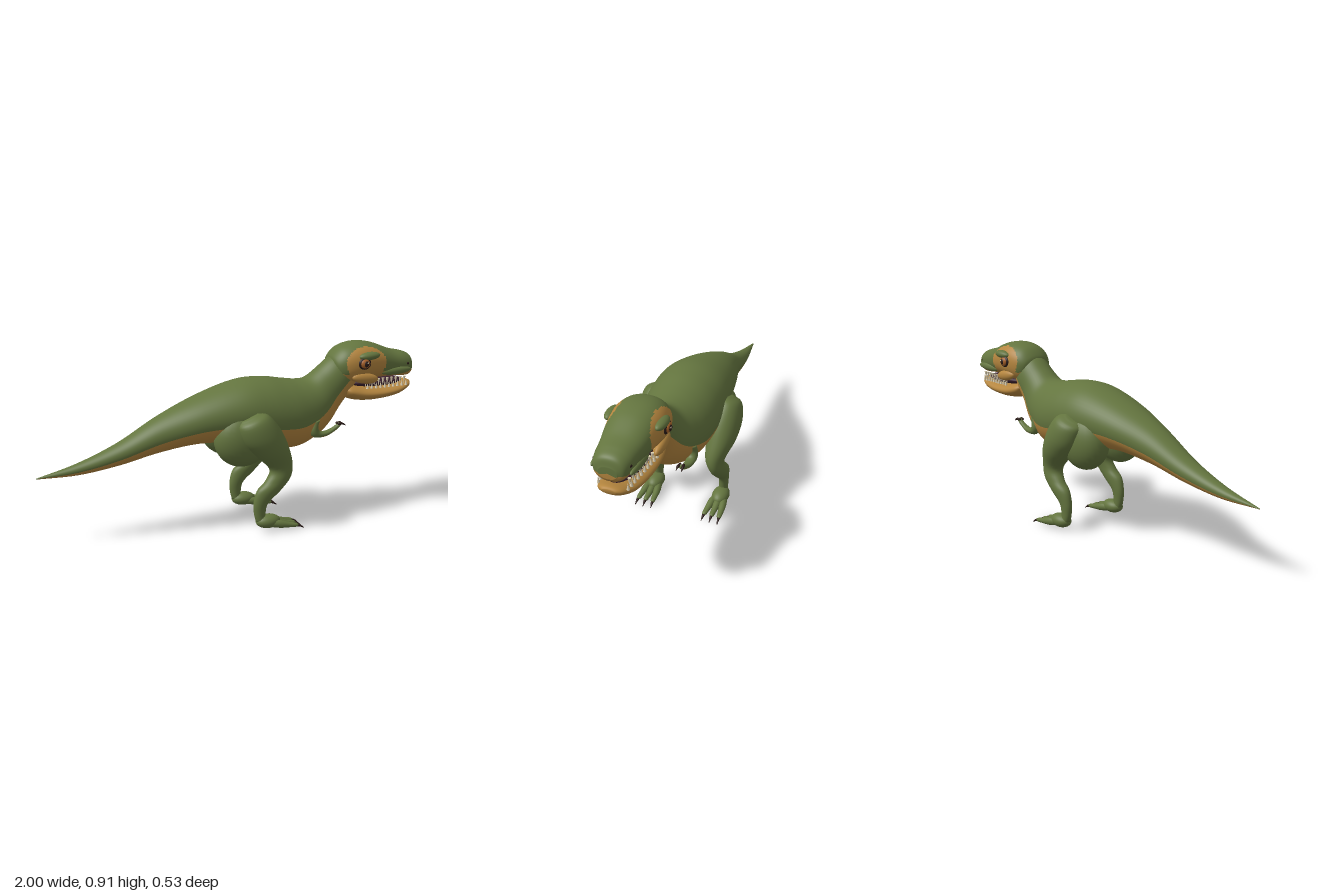
import * as THREE from 'three';

const mat = (name, color) => Object.assign(new THREE.MeshStandardMaterial({ color }), { name });

export function createModel() {
  const green = mat('hide green', 0x64753f);
  const tan = mat('belly tan', 0xb5863f);
  const dark = mat('claw dark', 0x2c1c18);
  const maroon = mat('mouth maroon', 0x3c2230);
  const ivory = mat('tooth ivory', 0xdccfb0);
  const amber = mat('eye amber', 0xa8622a);
  const root = new THREE.Group();
  root.name = 'dinosaur';

  const add = (parent, name, geometry, material) => {
    const mesh = new THREE.Mesh(geometry, material);
    mesh.name = name;
    parent.add(mesh);
    return mesh;
  };
  const part = (name) => {
    const g = new THREE.Group();
    g.name = name;
    root.add(g);
    return g;
  };

  // Smooth skin over sections [ax, ay, bx, by, halfWidth, centreZ]; a and b are opposite edges.
  // paint(x, y, z, c) picks material 0 or 1 for each face; c runs from 1 at edge a to -1 at b.
  function loft(sections, rows, sides, paint = () => 0, power = 1) {
    const curve = (f) => new THREE.CatmullRomCurve3(sections.map(f), false, 'catmullrom', 0.5);
    const A = curve((s) => new THREE.Vector3(s[0], s[1], 0));
    const B = curve((s) => new THREE.Vector3(s[2], s[3], 0));
    const W = curve((s) => new THREE.Vector3(s[4], s[5] || 0, 0));
    const pos = [];
    const soft = (v) => Math.sign(v) * Math.abs(v) ** power;
    const centres = [];
    for (let i = 0; i <= rows; i++) {
      const a = A.getPoint(i / rows), b = B.getPoint(i / rows), w = W.getPoint(i / rows);
      const mid = a.clone().add(b).multiplyScalar(0.5);
      const up = a.sub(b).multiplyScalar(0.5);
      centres.push([mid.x, mid.y, w.y]);
      for (let j = 0; j < sides; j++) {
        const t = (j / sides) * Math.PI * 2;
        const c = soft(Math.cos(t)), s = soft(Math.sin(t));
        pos.push(mid.x + up.x * c, mid.y + up.y * c, w.y + w.x * s);
      }
    }
    const first = pos.length / 3;
    pos.push(...centres[0], ...centres[rows]);
    const faces = [[], []];
    const put = (j, ...ids) => {
      const m = [0, 1, 2].map((k) => ids.reduce((sum, v) => sum + pos[v * 3 + k], 0) / ids.length);
      const list = faces[paint(...m, Math.cos(((j + 0.5) / sides) * Math.PI * 2)) ? 1 : 0];
      list.push(ids[0], ids[1], ids[2]);
      if (ids.length === 4) list.push(ids[0], ids[2], ids[3]);
    };
    for (let j = 0; j < sides; j++) {
      const n = (j + 1) % sides, e = rows * sides;
      for (let i = 0; i < rows; i++) {
        const p = i * sides, q = p + sides;
        put(j, p + j, p + n, q + n, q + j);
      }
      put(j, first, n, j);
      put(j, first + 1, e + j, e + n);
    }
    const g = new THREE.BufferGeometry();
    g.setAttribute('position', new THREE.Float32BufferAttribute(pos, 3));
    g.setIndex([...faces[0], ...faces[1]]);
    g.addGroup(0, faces[0].length, 0);
    if (faces[1].length) g.addGroup(faces[0].length, faces[1].length, 1);
    g.computeVertexNormals();
    return g;
  }

  // Ellipsoid, optionally tilted in the side plane
  function blob(parent, name, [x, y, z], [rx, ry, rz], material, tilt = 0) {
    const mesh = add(parent, name, new THREE.SphereGeometry(1, 28, 18), material);
    mesh.position.set(x, y, z);
    mesh.scale.set(rx, ry, rz);
    mesh.rotation.z = tilt;
  }

  // Tail, trunk and neck in one skin with a pale underside
  add(root, 'body', loft([
    [-1, 0.337, -1, 0.333, 0.003], [-0.8, 0.392, -0.8, 0.335, 0.035],
    [-0.6, 0.475, -0.6, 0.365, 0.065], [-0.4, 0.59, -0.4, 0.412, 0.1],
    [-0.2, 0.68, -0.2, 0.44, 0.15], [0, 0.745, 0, 0.425, 0.185],
    [0.14, 0.755, 0.16, 0.382, 0.19], [0.25, 0.74, 0.32, 0.377, 0.178],
    [0.33, 0.73, 0.44, 0.425, 0.15], [0.39, 0.735, 0.515, 0.49, 0.125],
    [0.45, 0.775, 0.57, 0.565, 0.105], [0.52, 0.83, 0.62, 0.63, 0.098],
    [0.58, 0.85, 0.66, 0.68, 0.085],
  ], 72, 48, (x, y, z, c) => c < -0.26), [green, tan]);

  // Skull with pale eye patches and lips
  const head = part('head');
  add(head, 'skull', loft([
    [0.515, 0.8, 0.54, 0.73, 0.05], [0.53, 0.845, 0.56, 0.705, 0.09],
    [0.58, 0.89, 0.6, 0.69, 0.115], [0.665, 0.91, 0.665, 0.698, 0.125],
    [0.755, 0.9, 0.755, 0.71, 0.115], [0.86, 0.863, 0.86, 0.715, 0.097],
    [0.93, 0.848, 0.94, 0.712, 0.086], [0.975, 0.83, 0.975, 0.715, 0.07],
    [0.99, 0.79, 0.99, 0.735, 0.04],
  ], 80, 80, (x, y, z) => y < 0.755
    || (Math.abs(z) > 0.06 && ((x - 0.685) / 0.115) ** 2 + ((y - 0.805) / 0.085) ** 2 < 1), 0.9),
  [green, tan]);
  add(head, 'lowerJaw', loft([
    [0.585, 0.685, 0.59, 0.645, 0.07], [0.62, 0.692, 0.62, 0.612, 0.095],
    [0.7, 0.675, 0.7, 0.596, 0.1], [0.8, 0.668, 0.8, 0.598, 0.095],
    [0.9, 0.675, 0.9, 0.613, 0.083], [0.97, 0.69, 0.965, 0.64, 0.06],
    [0.995, 0.685, 0.99, 0.66, 0.03],
  ], 40, 40), tan);
  blob(head, 'mouthLining', [0.78, 0.692, 0], [0.17, 0.027, 0.078], maroon);

  for (const s of [1, -1]) {
    const side = s > 0 ? 'left' : 'right';

    // Face details
    blob(head, side + 'Brow', [0.695, 0.845, 0.113 * s], [0.06, 0.021, 0.027], green, 0.06);
    blob(head, side + 'Cheek', [0.68, 0.728, 0.105 * s], [0.075, 0.028, 0.022], tan, -0.12);
    blob(head, side + 'LipRidge', [0.87, 0.754, 0.087 * s], [0.09, 0.02, 0.016], green, 0.06);
    blob(head, side + 'Nostril', [0.94, 0.787, 0.078 * s], [0.01, 0.009, 0.008], dark);
    blob(head, side + 'EyeRim', [0.665, 0.808, 0.12 * s], [0.036, 0.031, 0.016], dark);
    blob(head, side + 'Eye', [0.665, 0.808, 0.125 * s], [0.028, 0.025, 0.017], amber);
    blob(head, side + 'Pupil', [0.667, 0.808, 0.136 * s], [0.015, 0.016, 0.009], dark);
    blob(head, side + 'EyeGlint', [0.672, 0.814, 0.143 * s], [0.004, 0.004, 0.003], ivory);

    // Teeth: upper row points down, lower row points up
    for (let i = 0; i < 20; i++) {
      const upper = i % 2 === 0, x = 0.69 + i * 0.0135;
      const tooth = add(head, upper ? 'upperTooth' : 'lowerTooth',
        new THREE.ConeGeometry(0.0075, upper ? 0.042 : 0.034, 8), ivory);
      tooth.position.set(x, upper ? 0.698 : 0.685, (0.092 - (x - 0.69) * 0.1) * s);
      if (upper) tooth.rotation.x = Math.PI;
    }

    // Leg
    const leg = part(side + 'Leg');
    blob(leg, 'hip', [0, 0.475, 0.115 * s], [0.147, 0.146, 0.1], green);
    add(leg, 'thighAndShin', loft([
      [0.06, 0.615, -0.03, 0.575, 0.03, 0.17], [0.11, 0.6, -0.045, 0.54, 0.06, 0.19],
      [0.17, 0.53, -0.02, 0.46, 0.08, 0.187], [0.215, 0.44, 0.05, 0.39, 0.071, 0.184],
      [0.247, 0.34, 0.125, 0.315, 0.047, 0.172], [0.235, 0.27, 0.1, 0.255, 0.039, 0.18],
      [0.18, 0.205, 0.055, 0.21, 0.036, 0.183], [0.115, 0.145, 0.037, 0.145, 0.027, 0.182],
      [0.1, 0.09, 0.04, 0.09, 0.023, 0.182], [0.1, 0.05, 0.05, 0.05, 0.023, 0.182],
    ].map(([a, b, c, d, w, z]) => [a, b, c, d, w, z * s]), 48, 32), green);
    blob(leg, 'foot', [0.115, 0.046, 0.182 * s], [0.065, 0.036, 0.044], green);
    for (const k of [-1, 0, 1]) {
      const z = (spread) => (0.182 + k * spread) * s;
      add(leg, 'toe', loft([
        [0.12, 0.058, 0.12, 0.02, 0.016, z(0.022)], [0.17, 0.053, 0.17, 0.012, 0.019, z(0.03)],
        [0.22, 0.038, 0.22, 0.011, 0.015, z(0.036)], [0.255, 0.031, 0.255, 0.01, 0.012, z(0.039)],
        [0.267, 0.024, 0.267, 0.014, 0.005, z(0.04)],
      ], 16, 16), green);
      add(leg, 'toeClaw', loft([
        [0.25, 0.027, 0.25, 0.013, 0.008, z(0.039)], [0.275, 0.021, 0.275, 0.008, 0.006, z(0.041)],
        [0.297, 0.003, 0.295, 0, 0.001, z(0.043)],
      ], 8, 10), dark);
    }

    // Small folded arm with a pale underside
    const arm = part(side + 'Arm');
    add(arm, 'armSkin', loft([
      [0.42, 0.54, 0.365, 0.53, 0.03, 0.12], [0.405, 0.5, 0.36, 0.48, 0.027, 0.128],
      [0.42, 0.477, 0.385, 0.447, 0.024, 0.13], [0.46, 0.477, 0.45, 0.447, 0.02, 0.128],
      [0.5, 0.495, 0.505, 0.472, 0.014, 0.127], [0.525, 0.515, 0.532, 0.495, 0.014, 0.127],
    ].map(([a, b, c, d, w, z]) => [a, b, c, d, w, z * s]), 30, 24,
    (x, y, z, c) => c < -0.4 && x > 0.42 && x < 0.51), [green, tan]);
    for (const k of [-1, 1]) {
      const z = (0.127 + k * 0.009) * s;
      add(arm, 'fingerClaw', loft([
        [0.515, 0.515, 0.515, 0.5, 0.007, z], [0.54, 0.514, 0.54, 0.502, 0.006, z + k * 0.003 * s],
        [0.557, 0.499, 0.555, 0.497, 0.001, z + k * 0.004 * s],
      ], 8, 10), dark);
    }
  }
  return root;
}
